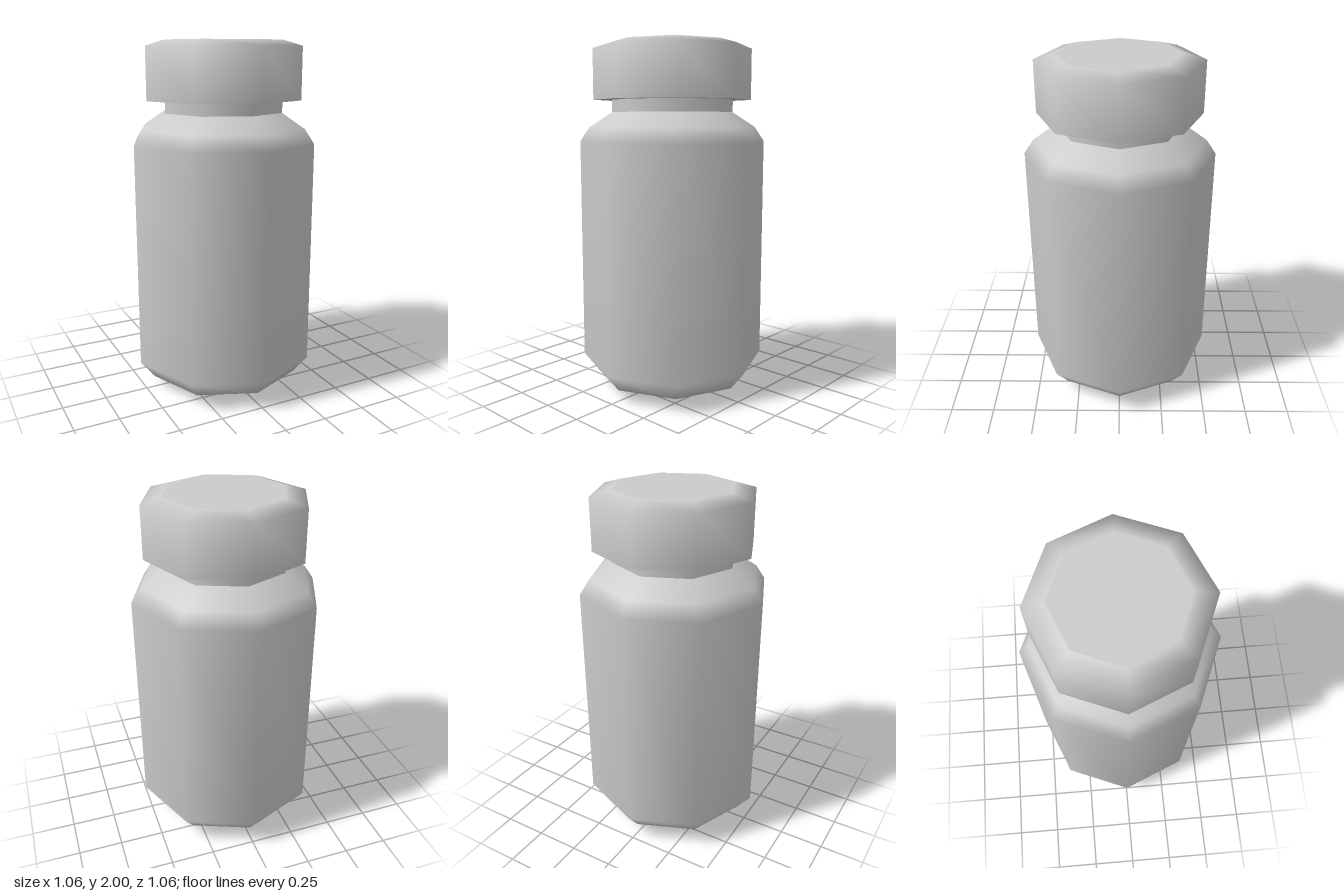
import * as THREE from 'three';

const SIDES = 8;
const material = new THREE.MeshStandardMaterial({ color: 0xcccccc });

// Eight-sided turned part from a [radius, height] profile, listed bottom to top
function turned(name, profile) {
  const points = profile.map(([r, y]) => new THREE.Vector2(r, y));
  const mesh = new THREE.Mesh(new THREE.LatheGeometry(points, SIDES), material);
  mesh.name = name;
  return mesh;
}

export function createModel() {
  const jar = new THREE.Group();
  jar.name = 'jar';

  // Body: small flat base, rounded heel, straight wall, sloping shoulder
  jar.add(turned('body', [
    [0, 0], [0.2, 0], [0.447, 0.065], [0.532, 0.17],
    [0.532, 1.445], [0.478, 1.525], [0.348, 1.61],
  ]));

  // Neck: short collar running up into the lid
  jar.add(turned('neck', [[0.348, 1.605], [0.348, 1.69]]));

  // Lid: closed underside, straight wall, chamfered rim and flat top
  jar.add(turned('lid', [
    [0, 1.68], [0.44, 1.68], [0.453, 1.68], [0.453, 1.968],
    [0.345, 2], [0.335, 2], [0, 2],
  ]));

  return jar;
}
